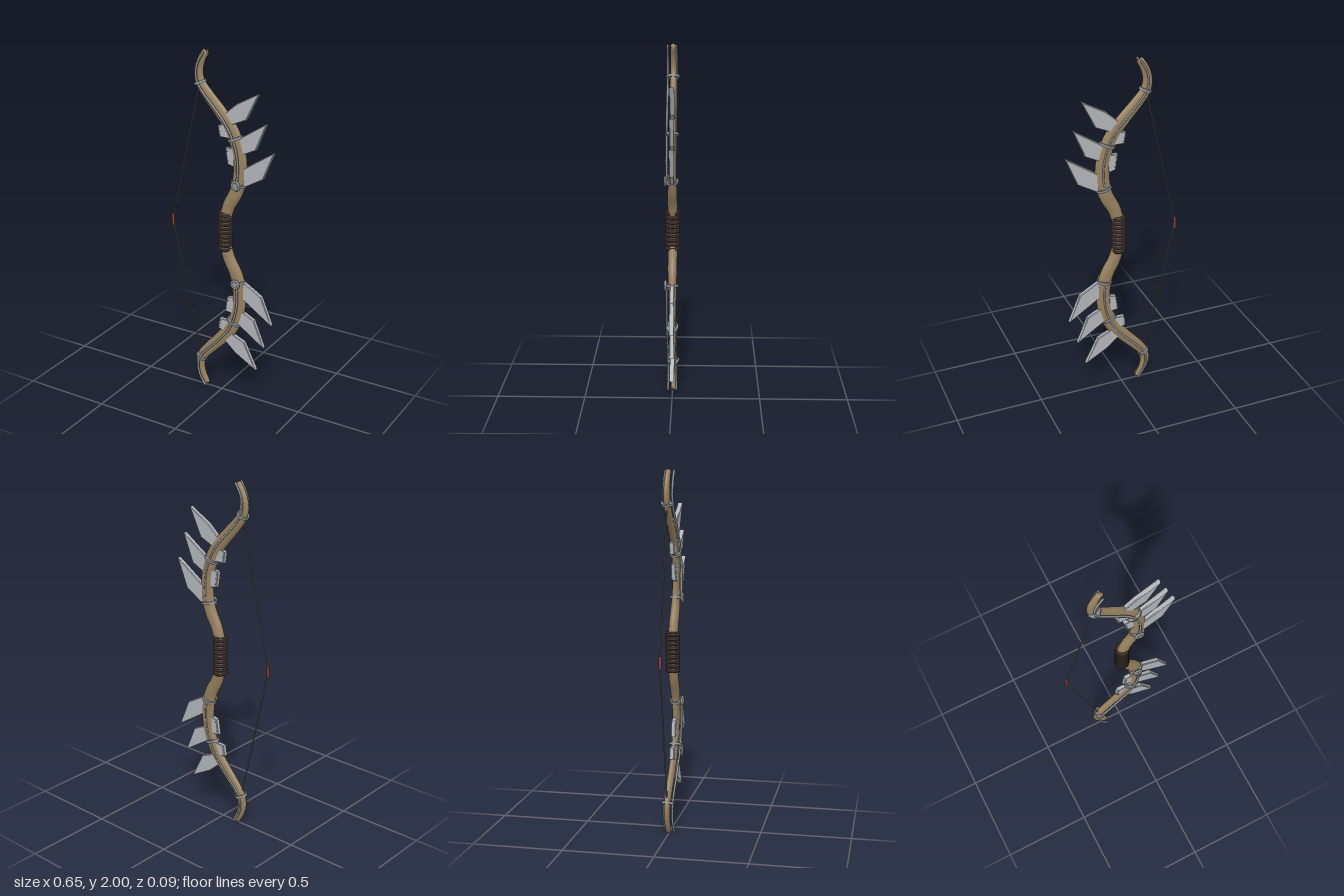
import * as THREE from 'three';

const V = (x, y, z = 0) => new THREE.Vector3(x, y, z);
const mat = (color) => new THREE.MeshStandardMaterial({ color });
const ZC = -0.004; // depth of the bow's middle plane

// centre line of the upper limb, from grip to tip
const LIMB = [[0.02, 1.08], [0.045, 1.16], [0.085, 1.235], [0.107, 1.31], [0.11, 1.42], [0.092, 1.51],
  [0.05, 1.6], [-0.015, 1.68], [-0.085, 1.755], [-0.135, 1.82], [-0.146, 1.88], [-0.128, 1.945], [-0.1, 1.99]];
const curve = new THREE.CatmullRomCurve3(LIMB.map(([x, y]) => V(x, y)), false, 'centripetal');

// value from a list of [t, value] keys
function ramp(keys, t) {
  for (let i = 1; i < keys.length; i++) {
    const [a, va] = keys[i - 1], [b, vb] = keys[i];
    if (t <= b) return va + (vb - va) * (t - a) / (b - a);
  }
  return keys[keys.length - 1][1];
}
const halfWidth = (t) => ramp([[0, 0.034], [0.25, 0.042], [0.5, 0.042], [0.75, 0.034], [0.88, 0.028], [1, 0.02]], t);
const halfDepth = (t) => ramp([[0, 0.027], [0.15, 0.026], [0.3, 0.02], [0.8, 0.018], [1, 0.014]], t);

// oval sections swept along the centre line, closed at both ends
function limbGeometry(rings = 48, sides = 14) {
  const pos = [], idx = [];
  for (let i = 0; i <= rings; i++) {
    const t = i / rings, c = curve.getPointAt(t), d = curve.getTangentAt(t);
    for (let j = 0; j < sides; j++) {
      const a = j / sides * Math.PI * 2, w = Math.cos(a) * halfWidth(t);
      pos.push(c.x + d.y * w, c.y - d.x * w, ZC + Math.sin(a) * halfDepth(t));
    }
  }
  for (let i = 0; i < rings; i++) for (let j = 0; j < sides; j++) {
    const a = i * sides + j, b = i * sides + (j + 1) % sides;
    idx.push(a, a + sides, b, b, a + sides, b + sides);
  }
  for (let j = 1; j < sides - 1; j++) {
    const e = rings * sides;
    idx.push(0, j, j + 1, e, e + j + 1, e + j);
  }
  const g = new THREE.BufferGeometry();
  g.setAttribute('position', new THREE.Float32BufferAttribute(pos, 3));
  g.setIndex(idx);
  g.computeVertexNormals();
  return g;
}

// the same geometry reflected about y = 1, with its faces turned back outward
function mirrored(geo) {
  const g = geo.index ? geo.toNonIndexed() : geo.clone();
  g.applyMatrix4(new THREE.Matrix4().makeScale(1, -1, 1)).translate(0, 2, 0);
  for (const at of Object.values(g.attributes)) {
    const n = at.itemSize, a = at.array;
    for (let i = 0; i < at.count; i += 3) for (let k = 0; k < n; k++) {
      const p = (i + 1) * n + k, q = (i + 2) * n + k;
      [a[p], a[q]] = [a[q], a[p]];
    }
  }
  return g;
}

function plate(points, depth, bevel) {
  const shape = new THREE.Shape(points.map(([x, y]) => new THREE.Vector2(x, y)));
  const g = new THREE.ExtrudeGeometry(shape, {
    depth: depth - bevel * 2, bevelEnabled: true, bevelSegments: 1,
    bevelSize: bevel, bevelThickness: bevel, bevelOffset: -bevel });
  return g.translate(0, 0, ZC - depth / 2 + bevel);
}

// curve parameter at a given height
function atHeight(y) {
  let t = 0;
  while (t < 1 && curve.getPointAt(t).y < y) t += 0.002;
  return Math.min(t, 1);
}

export function createModel() {
  const bow = new THREE.Group();
  bow.name = 'bow';
  const wood = mat(0x97815f), leather = mat(0x43352d), steel = mat(0x8b9094);
  const bladeSteel = mat(0xb2b5ba), cord = mat(0x6e665c), red = mat(0x8c3f38);

  const add = (name, geo, m) => {
    const mesh = new THREE.Mesh(geo, m);
    mesh.name = name;
    bow.add(mesh);
  };
  const addPair = (name, geo, m) => {
    add('upper' + name, geo, m);
    add('lower' + name, mirrored(geo), m);
  };

  addPair('Limb', limbGeometry(), wood);

  // rods on the front and back of each limb
  const t0 = atHeight(1.29);
  for (const [name, z, r] of [['FrontRod', 0.026, 0.007], ['BackRod', -0.022, 0.006]]) {
    const pts = Array.from({ length: 16 }, (_, i) => {
      const p = curve.getPointAt(t0 + (1 - t0) * i / 15);
      return V(p.x, p.y, z);
    });
    const path = new THREE.CatmullRomCurve3(pts);
    addPair(name, new THREE.TubeGeometry(path, 40, r, 6), steel);
    // end cap at the tip
    const end = new THREE.SphereGeometry(r, 6, 4);
    addPair(name + 'End', end.translate(pts[15].x, pts[15].y, z), steel);
  }

  // collars binding rods to wood
  for (const y of [1.29, 1.54, 1.82]) {
    const t = atHeight(y), c = curve.getPointAt(t), d = curve.getTangentAt(t);
    const g = new THREE.CylinderGeometry(1, 1, 0.014, 10).scale(halfWidth(t) + 0.005, 1, 0.037);
    g.rotateZ(Math.atan2(-d.x, d.y)).translate(c.x, c.y, -0.002);
    addPair('Collar', g, steel);
  }

  // round boss on the front at the inner end of the rods
  const boss = curve.getPointAt(t0);
  addPair('Boss', new THREE.CylinderGeometry(0.018, 0.018, 0.016, 12).rotateX(Math.PI / 2)
    .translate(boss.x, boss.y, 0.031), steel);
  addPair('BossRing', new THREE.TorusGeometry(0.023, 0.007, 6, 16).translate(boss.x, boss.y, 0.034), steel);

  // three outer blades per limb
  const blades = [
    [[0.1, 1.31], [0.14, 1.278], [0.255, 1.345], [0.32, 1.505], [0.195, 1.425], [0.1, 1.36]],
    [[0.06, 1.47], [0.12, 1.455], [0.21, 1.5], [0.273, 1.656], [0.155, 1.58], [0.06, 1.52]],
    [[0, 1.62], [0.06, 1.615], [0.15, 1.655], [0.225, 1.81], [0.09, 1.735], [0, 1.655]],
  ];
  for (const b of blades) addPair('Blade', plate(b, 0.026, 0.004), bladeSteel);

  // small riveted plates on the string side
  const guards = [
    [[0.08, 1.385], [0.08, 1.49], [0.025, 1.485], [0.038, 1.395]],
    [[0.06, 1.54], [0.02, 1.615], [-0.022, 1.603], [-0.012, 1.54]],
  ];
  for (const p of guards) {
    addPair('GuardPlate', plate(p, 0.026, 0.003), bladeSteel);
    for (const f of [0.2, 0.5, 0.8]) {
      const x = p[2][0] + (p[3][0] - p[2][0]) * f + 0.008, y = p[2][1] + (p[3][1] - p[2][1]) * f;
      addPair('GuardRivet', new THREE.CylinderGeometry(0.004, 0.004, 0.03, 6).rotateX(Math.PI / 2)
        .translate(x, y, ZC), steel);
    }
  }

  // ribbed leather grip
  const ribs = 9, bottom = 0.888, pitch = 0.226 / ribs, profile = [new THREE.Vector2(0, bottom)];
  for (let i = 0; i < ribs; i++) {
    for (const [r, f] of [[0.035, 0], [0.041, 0.25], [0.041, 0.75]]) {
      profile.push(new THREE.Vector2(r, bottom + (i + f) * pitch));
    }
  }
  profile.push(new THREE.Vector2(0.035, bottom + 0.226), new THREE.Vector2(0, bottom + 0.226));
  const grip = mat(0x43352d);
  grip.flatShading = true;
  add('grip', new THREE.LatheGeometry(profile, 12).translate(0.02, 0, ZC), grip);

  // drawn string with its nocking point
  const string = new THREE.LineCurve3(V(-0.322, 1, ZC), V(-0.145, 1.79, ZC));
  addPair('String', new THREE.TubeGeometry(string, 1, 0.004, 6), cord);
  add('nockingPoint', new THREE.CylinderGeometry(0.008, 0.008, 0.07, 8).translate(-0.321, 1, ZC), red);

  return bow;
}
